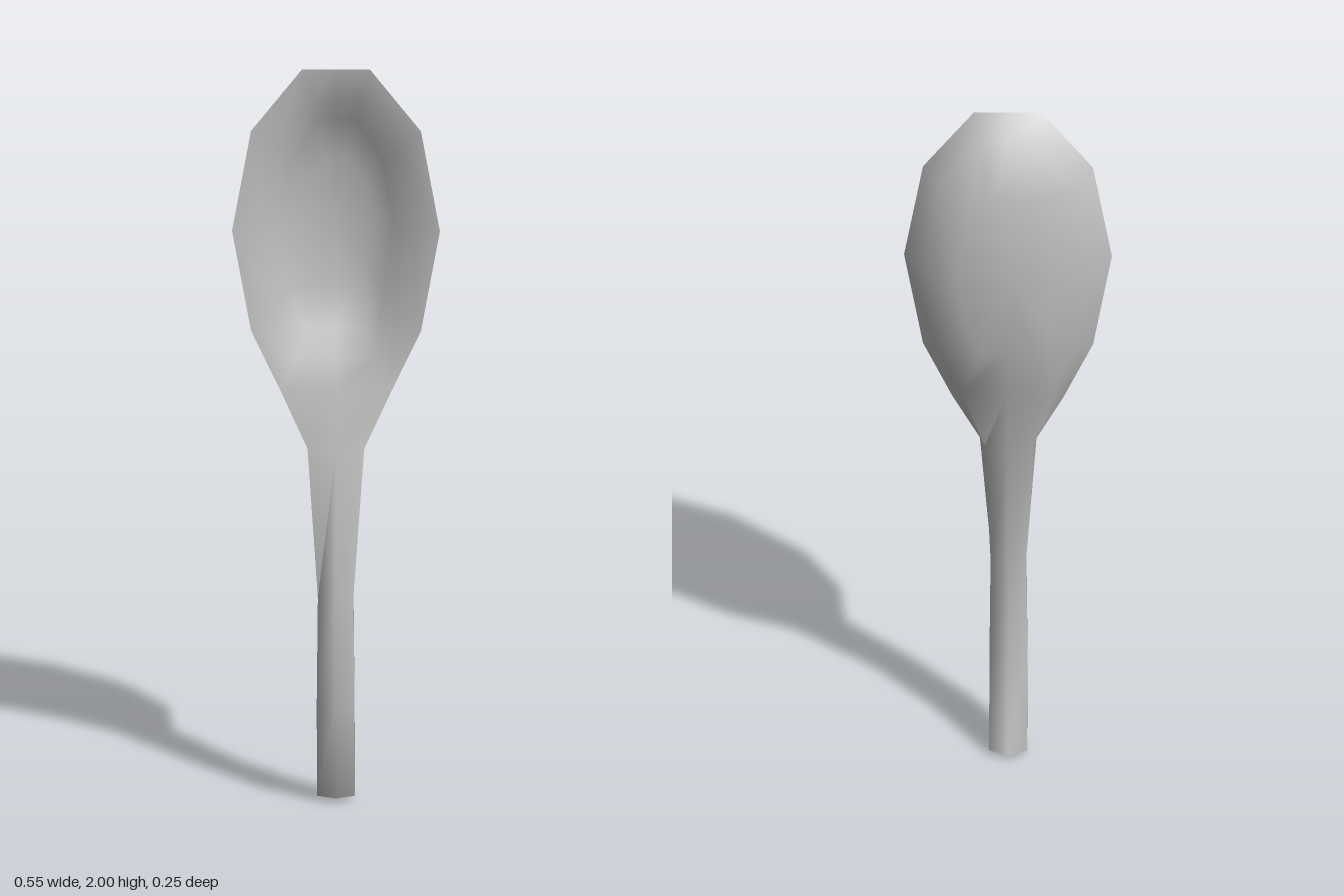
import * as THREE from 'three';
import { toCreasedNormals } from 'three/addons/utils/BufferGeometryUtils.js';

// Right half of the bowl rim outline as [x, y], bottom centre to top centre
const OUTLINE = [[0, 1.115], [0.147, 1.115], [0.225, 1.28], [0.275, 1.555], [0.225, 1.83], [0.09, 2], [0, 2]];
const MID_Y = 1.555;

// Closed bowl ring: the outline scaled about its middle, at depth z
function bowlRing(sx, sy, z) {
  const left = OUTLINE.slice(1, -1).reverse().map(([x, y]) => [-x, y]);
  return [...OUTLINE, ...left].map(([x, y]) => [x * sx, MID_Y + (y - MID_Y) * sy, z]);
}

// Six-sided handle ring with a ridge at front and back
function handleRing(y, w, wBack, front, sideFront, sideBack, back) {
  return [
    [0, y, front], [w, y, sideFront], [wBack, y, sideBack],
    [0, y, back], [-wBack, y, sideBack], [-w, y, sideFront],
  ];
}

// Quads between two rings, leaving out the listed sides
function bridge(out, a, b, skip = []) {
  a.forEach((p, i) => {
    if (skip.includes(i)) return;
    const j = (i + 1) % a.length;
    out.push(p, a[j], b[j], p, b[j], b[i]);
  });
}

function fan(out, ring, centre, flip = false) {
  ring.forEach((p, i) => {
    const q = ring[(i + 1) % ring.length];
    if (flip) out.push(q, p, centre);
    else out.push(p, q, centre);
  });
}

export function createModel() {
  const group = new THREE.Group();
  group.name = 'spoon';
  const metal = new THREE.MeshStandardMaterial({ color: 0xc0c0c0 });
  metal.name = 'grey metal';

  const rim = bowlRing(1, 1, -0.005);
  const backRing = bowlRing(0.828, 0.89, -0.07);
  const backFloor = bowlRing(0.49, 0.54, -0.125);

  // Hollow of the bowl
  const inside = [];
  const insideRings = [rim, bowlRing(0.72, 0.8, -0.02), bowlRing(0.55, 0.65, -0.065), bowlRing(0.33, 0.4, -0.095)];
  for (let i = 0; i < 3; i++) bridge(inside, insideRings[i], insideRings[i + 1]);
  fan(inside, insideRings[3], [0, MID_Y, -0.1]);

  // Rounded back of the bowl, open where the handle joins
  const back = [];
  bridge(back, backRing, rim, [0, 11]);
  bridge(back, backFloor, backRing);
  fan(back, backFloor, [0, MID_Y, -0.125], true);

  // Bent handle that flares into the bowl
  const handle = [];
  const handleRings = [
    handleRing(0.013, 0.05, 0.05, 0.07, 0.043, -0.007, -0.034),
    handleRing(0.28, 0.05, 0.05, 0.125, 0.098, 0.046, 0.02),
    handleRing(0.575, 0.047, 0.047, 0.125, 0.098, 0.046, 0.02),
    handleRing(0.965, 0.075, 0.062, 0.06, 0.03, -0.012, -0.047),
    [rim[0], rim[1], backRing[1], backRing[0], backRing[11], rim[11]],
  ];
  for (let i = 0; i < 4; i++) bridge(handle, handleRings[i], handleRings[i + 1]);
  fan(handle, handleRings[0], [0, 0, 0.018], true);

  // Shade the whole surface together so the parts blend, then split it
  const parts = { bowlInside: inside, bowlBack: back, handle };
  const all = Object.values(parts).flat();
  let whole = new THREE.BufferGeometry();
  whole.setAttribute('position', new THREE.Float32BufferAttribute(all.flat(), 3));
  whole = toCreasedNormals(whole, THREE.MathUtils.degToRad(65));

  let start = 0;
  for (const [name, points] of Object.entries(parts)) {
    const end = start + points.length;
    const geometry = new THREE.BufferGeometry();
    for (const key of ['position', 'normal']) {
      const values = whole.getAttribute(key).array.slice(start * 3, end * 3);
      geometry.setAttribute(key, new THREE.BufferAttribute(values, 3));
    }
    const mesh = new THREE.Mesh(geometry, metal);
    mesh.name = name;
    group.add(mesh);
    start = end;
  }
  return group;
}
